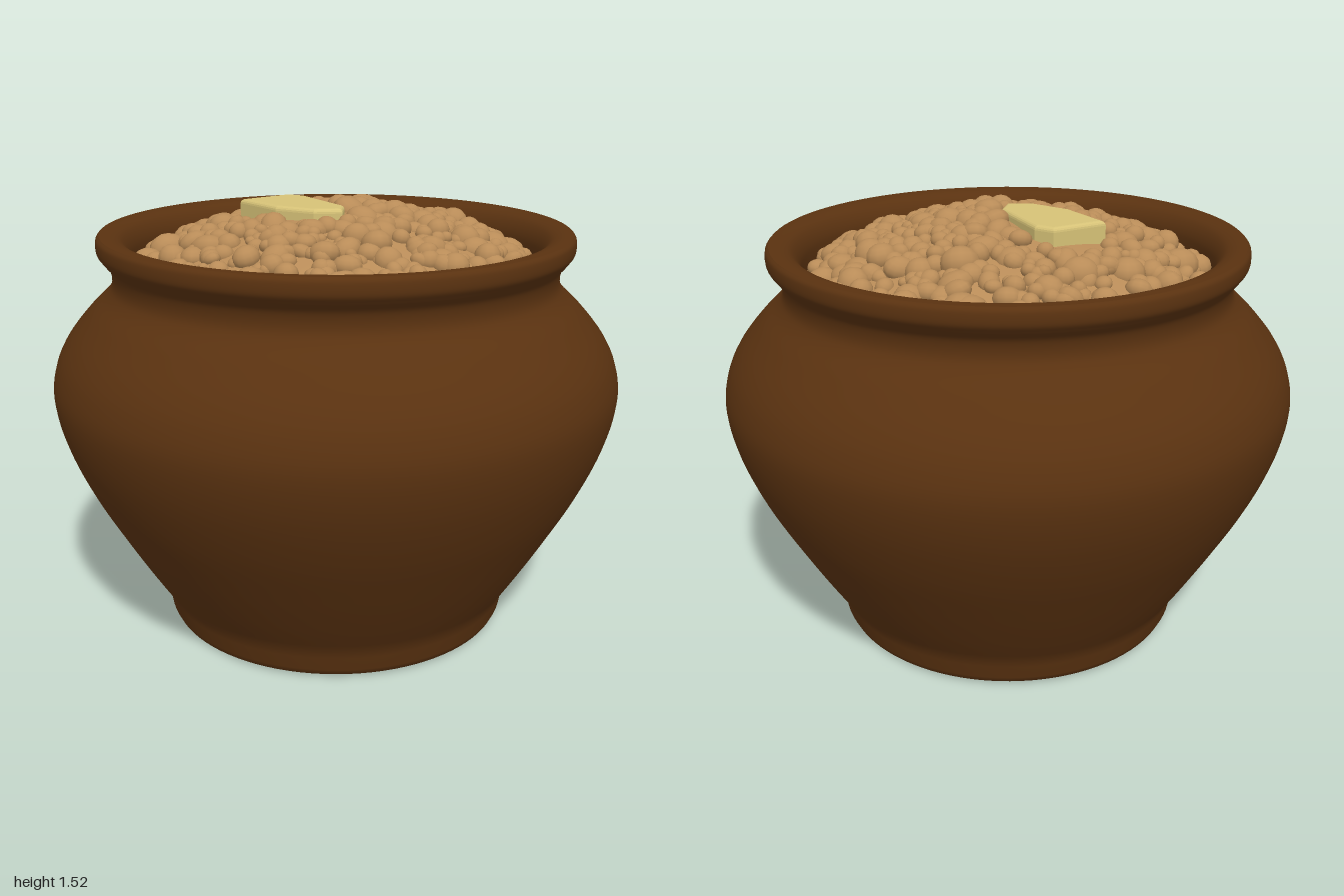
import * as THREE from 'three';
import { mergeGeometries } from 'three/addons/utils/BufferGeometryUtils.js';

const potBrown = new THREE.MeshStandardMaterial({ name: 'dark brown clay', color: 0x5a3210 });
const oatTan = new THREE.MeshStandardMaterial({ name: 'oat tan', color: 0xb98c58 });
const butterYellow = new THREE.MeshStandardMaterial({ name: 'butter yellow', color: 0xd6c277 });

const add = (group, name, geometry, material) => {
  const mesh = new THREE.Mesh(geometry, material);
  mesh.name = name;
  group.add(mesh);
  return mesh;
};

const vectors = (list) => list.map(([x, y]) => new THREE.Vector2(x, y));
const lathe = (points) => new THREE.LatheGeometry(points, 96);

// Small seeded generator for the lumps
function seeded(seed) {
  return () => {
    seed = (seed * 1664525 + 1013904223) % 4294967296;
    return seed / 4294967296;
  };
}

// Height of the food's domed surface at radius r
const domeHeight = (r) => 1.285 + 0.185 * (1 - (r / 0.7) ** 2);

// Butter outline, seen from above as [x, z]
const butterOutline = [[-0.31, -0.12], [-0.16, -0.22], [-0.11, -0.19],
  [0.01, 0.05], [0.0, 0.115], [-0.08, 0.12], [-0.2, 0.04]];

function lumpGeometry() {
  const random = seeded(11);
  const lumps = [];
  const matrix = new THREE.Matrix4();
  const turn = new THREE.Quaternion();
  const count = 420;
  const addLump = (x, z, size) => {
    const r = Math.hypot(x, z);
    if (r + size * 0.9 > 0.715) return;
    // Leave a bed for the butter
    const nearButter = Math.hypot((x + 0.145) * 0.86 - (z + 0.05) * 0.5,
      ((x + 0.145) * 0.5 + (z + 0.05) * 0.86) * 0.62) < 0.14 + size * 0.6;
    if (nearButter) return;
    turn.setFromEuler(new THREE.Euler(random() - 0.5, random() * 6.28, random() - 0.5));
    matrix.compose(
      new THREE.Vector3(x, domeHeight(r) + (random() - 0.35) * 0.02, z), turn,
      new THREE.Vector3(size * (0.85 + random() * 0.4), size * (0.75 + random() * 0.25), size));
    lumps.push(new THREE.SphereGeometry(1, 12, 8).applyMatrix4(matrix));
  };
  // Sunflower spread, some lumps with a smaller neighbour
  for (let i = 0; i < count; i++) {
    const r = 0.69 * Math.sqrt((i + 0.5) / count) + (random() - 0.5) * 0.03;
    const a = i * 2.39996 + (random() - 0.5) * 0.2;
    const size = 0.028 + random() * random() * 0.038;
    const x = r * Math.cos(a), z = r * Math.sin(a);
    addLump(x, z, size);
    if (random() < 0.35) {
      const b = random() * 6.28;
      addLump(x + Math.cos(b) * size, z + Math.sin(b) * size, size * 0.75);
    }
  }
  return mergeGeometries(lumps);
}

export function createModel() {
  const group = new THREE.Group();
  group.name = 'pot of porridge';

  // Foot with a rounded lower edge
  add(group, 'foot', lathe(vectors([[0, 0], [0.595, 0], [0.596, 0.001], [0.615, 0.008],
    [0.626, 0.03], [0.635, 0.08], [0.648, 0.115], [0.665, 0.142]])), potBrown);

  // Belly, neck and rolled lip
  const outside = new THREE.SplineCurve(vectors([[0.66, 0.135], [0.72, 0.23], [0.805, 0.375],
    [0.9, 0.55], [0.97, 0.72], [1, 0.865], [0.985, 0.97], [0.94, 1.06], [0.865, 1.15],
    [0.803, 1.21], [0.78, 1.25], [0.784, 1.3], [0.81, 1.335], [0.827, 1.362],
    [0.827, 1.4], [0.815, 1.416]]));
  add(group, 'body', lathe(outside.getPoints(90)), potBrown);

  // Lip top and inner wall
  const inside = new THREE.SplineCurve(vectors([[0.815, 1.416], [0.775, 1.414], [0.74, 1.398],
    [0.716, 1.36], [0.71, 1.31], [0.715, 1.2]]));
  add(group, 'innerWall', lathe(inside.getPoints(30)), potBrown);

  // Domed food surface, listed from rim to centre so it faces up
  const dome = [];
  for (let i = 0; i <= 16; i++) {
    const r = 0.715 * (1 - i / 16);
    dome.push(new THREE.Vector2(r, domeHeight(r)));
  }
  add(group, 'porridge', lathe(dome), oatTan);
  add(group, 'porridgeLumps', lumpGeometry(), oatTan);

  // Butter pat with softened edges
  const shape = new THREE.Shape(vectors(butterOutline.map(([x, z]) => [x, -z])));
  const butter = new THREE.ExtrudeGeometry(shape, {
    depth: 0.07, bevelEnabled: true, bevelThickness: 0.016, bevelSize: 0.016, bevelSegments: 4,
  });
  butter.rotateX(-Math.PI / 2);
  add(group, 'butter', butter, butterYellow).position.y = 1.415;

  return group;
}
